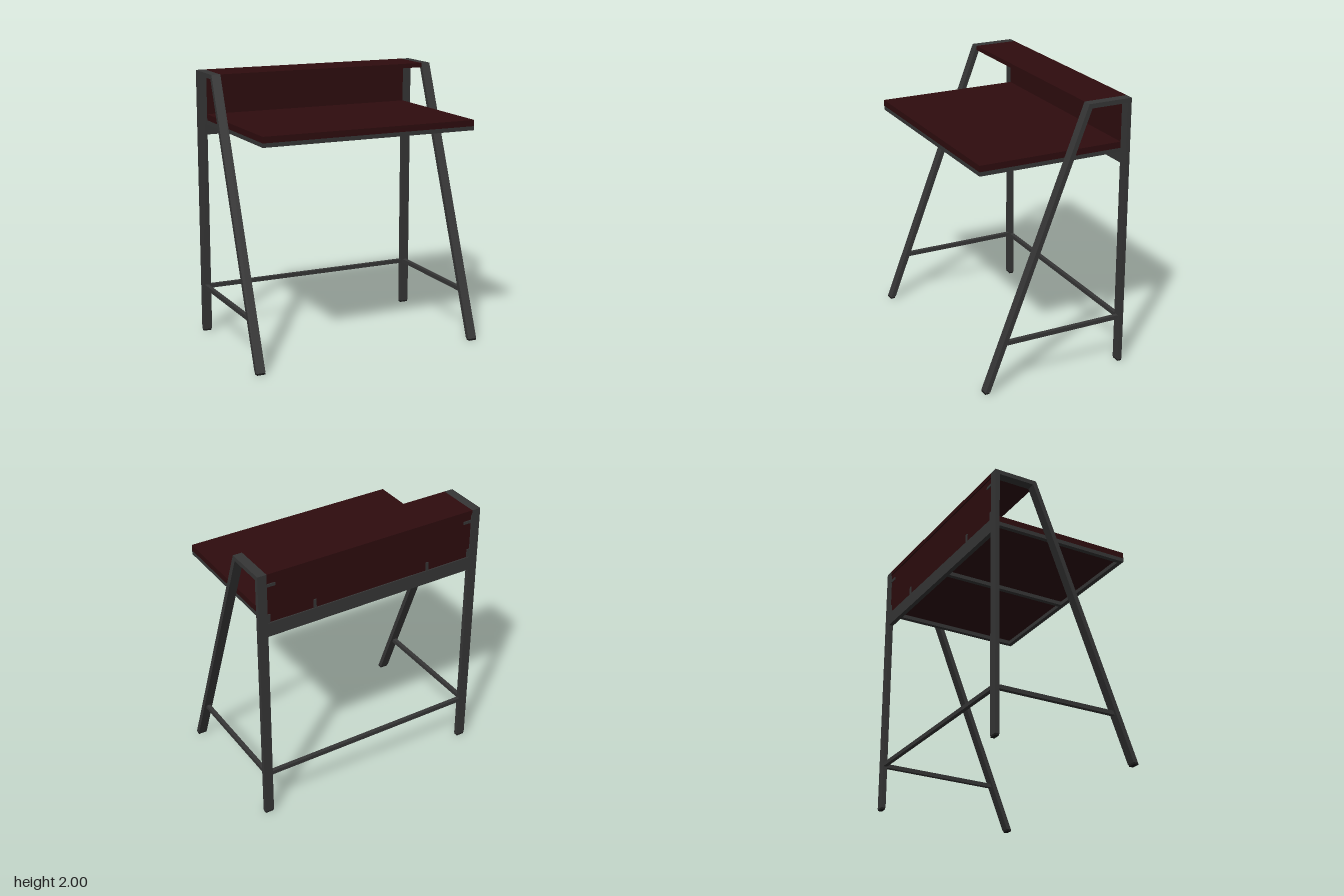
import * as THREE from 'three';

export function createModel() {
  const model = new THREE.Group();
  model.name = 'desk';

  const steel = new THREE.MeshStandardMaterial({ color: 0x363636 });
  steel.name = 'dark grey steel';
  const wood = new THREE.MeshStandardMaterial({ color: 0x2e0c0e });
  wood.name = 'dark red wood';
  const rubber = new THREE.MeshStandardMaterial({ color: 0x1c1c1c });
  rubber.name = 'black rubber';

  // Box given by its extents on each axis
  function box(name, material, [x0, x1], [y0, y1], [z0, z1], parent = model) {
    const mesh = new THREE.Mesh(new THREE.BoxGeometry(x1 - x0, y1 - y0, z1 - z0), material);
    mesh.position.set((x0 + x1) / 2, (y0 + y1) / 2, (z0 + z1) / 2);
    mesh.name = name;
    parent.add(mesh);
    return mesh;
  }

  const inner = 0.82, outer = 0.888;      // side frame, inside and outside faces
  const back = -0.555, legFront = -0.522; // rear leg depth
  const front = 0.557, tipZ = -0.225;     // sloping leg, foot and top
  const footH = 0.012;
  const legZ = (y) => front + (tipZ - front) * y / 2; // front face of sloping leg
  const legW = 0.036;

  // Side frames: upright, top bar and sloping leg bent from one flat bar
  const profile = new THREE.Shape([
    [back, footH], [legFront, footH], [legFront, 1.967], [legZ(1.967) - legW, 1.967],
    [legZ(footH) - legW, footH], [legZ(footH), footH], [tipZ, 2], [back, 2],
  ].map(([z, y]) => new THREE.Vector2(z, y)));
  const frameGeometry = new THREE.ExtrudeGeometry(profile, { depth: outer - inner, bevelEnabled: false });

  for (const side of [1, -1]) {
    const group = new THREE.Group();
    group.name = side > 0 ? 'leftSideFrame' : 'rightSideFrame';
    model.add(group);
    const frame = new THREE.Mesh(frameGeometry, steel);
    frame.name = 'legs';
    frame.rotation.y = -Math.PI / 2;
    frame.position.x = side > 0 ? outer : -inner;
    group.add(frame);

    const span = (a, b) => (side > 0 ? [a, b] : [-b, -a]);
    box('rearFoot', rubber, span(inner + 0.003, outer - 0.003), [0, footH], [back + 0.002, legFront - 0.002], group);
    box('frontFoot', rubber, span(inner + 0.003, outer - 0.003), [0, footH], [front - legW, front - 0.002], group);
    box('sideStretcher', steel, span(0.839, 0.869), [0.335, 0.365], [legFront, legZ(0.35) - legW + 0.007], group);

    // Fixing tabs behind the back panel
    const tabZ = [back + 0.003, back + 0.009];
    box('innerTab', steel, span(0.445, 0.467), [1.625, 1.69], tabZ, group);
    box('cornerTab', steel, span(0.798, inner), [1.625, 1.69], tabZ, group);
    box('upperTab', steel, span(0.755, inner), [1.9, 1.922], tabZ, group);
  }

  // Wooden boards
  box('desktop', wood, [-inner, inner], [1.627, 1.672], [legFront, front]);
  box('shelf', wood, [-inner, inner], [1.967, 2], [back, tipZ]);
  box('backPanel', wood, [-inner, inner], [1.625, 1.967], [back + 0.009, legFront]);

  // Rear rails
  box('rearApron', steel, [-inner, inner], [1.52, 1.625], [back, legFront]);
  box('rearStretcher', steel, [-inner, inner], [0.335, 0.365], [-0.553, -0.524]);

  // Frame under the desktop
  const railY = [1.597, 1.627], rail = 0.033;
  box('frontRail', steel, [-inner, inner], railY, [front - rail, front]);
  box('rearRail', steel, [-inner, inner], railY, [legFront, legFront + rail]);
  for (const x of [-inner, -rail / 2, inner - rail]) {
    box('crossRail', steel, [x, x + rail], railY, [legFront + rail, front - rail]);
  }

  return model;
}
